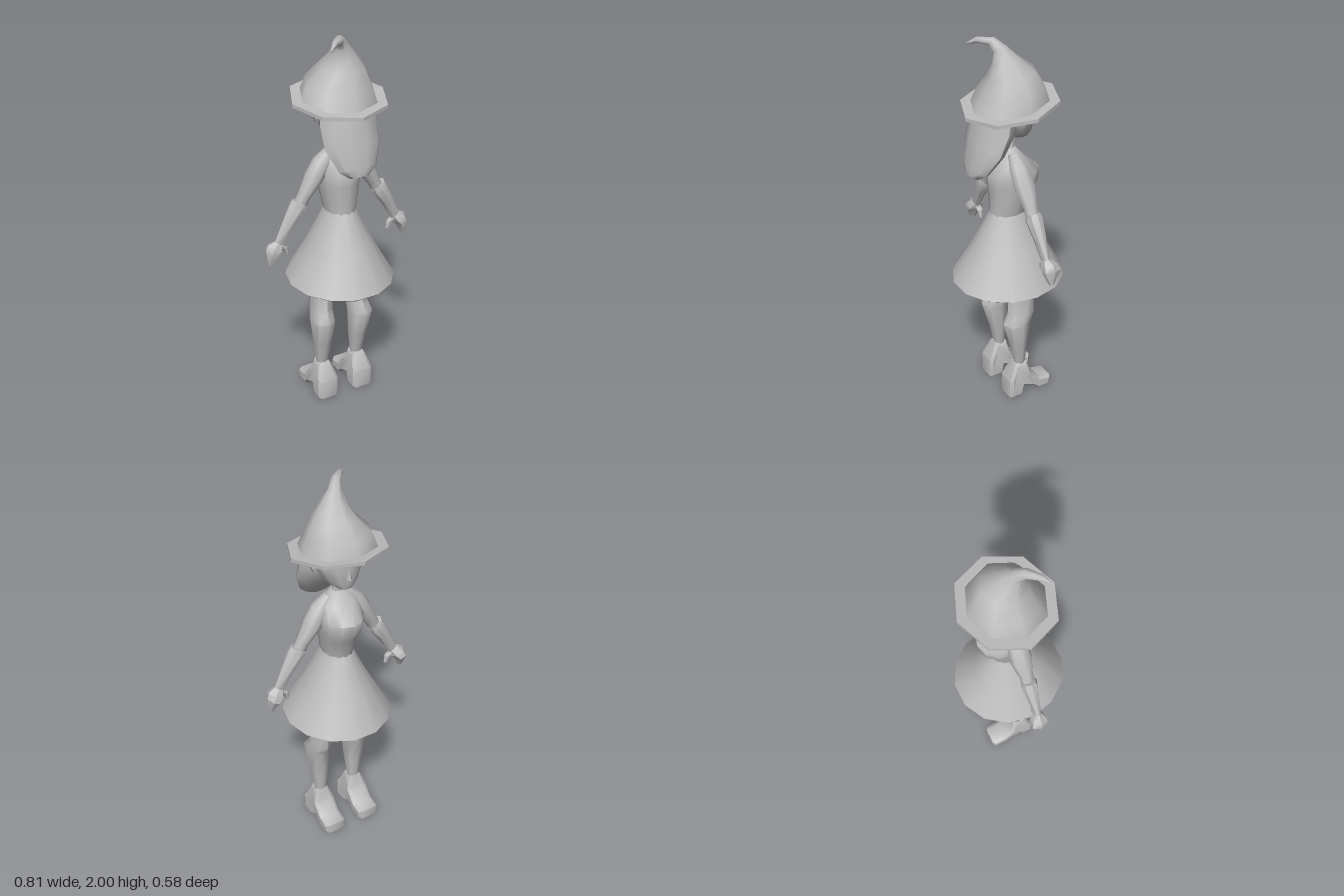
import * as THREE from 'three';
import { toCreasedNormals } from 'three/addons/utils/BufferGeometryUtils.js';

const grey = new THREE.MeshStandardMaterial({ color: 0xbcbcbc });
grey.name = 'plain grey';
const UP = new THREE.Vector3(0, 1, 0);

// Closed skin over rings listed bottom-up: [x, y, z, halfWidth, halfDepth, axis?]
function loft(rings, n, defaultAxis = [0, 1, 0], crease = 0.7) {
  const pos = [], idx = [], q = new THREE.Quaternion();
  for (const [x, y, z, ru, rv, axis] of rings) {
    q.setFromUnitVectors(UP, new THREE.Vector3(...(axis || defaultAxis)).normalize());
    for (let i = 0; i < n; i++) {
      const a = (i / n) * Math.PI * 2;
      const p = new THREE.Vector3(Math.cos(a) * ru, 0, Math.sin(a) * rv).applyQuaternion(q);
      pos.push(p.x + x, p.y + y, p.z + z);
    }
  }
  const last = rings.length - 1;
  for (const r of [rings[0], rings[last]]) pos.push(r[0], r[1], r[2]);
  const low = rings.length * n, high = low + 1;
  for (let i = 0; i < n; i++) {
    const j = (i + 1) % n;
    for (let k = 0; k < last; k++) {
      const b = k * n, t = b + n;
      idx.push(b + i, t + i, b + j, t + i, t + j, b + j);
    }
    idx.push(low, i, j, high, last * n + j, last * n + i);
  }
  const g = new THREE.BufferGeometry();
  g.setAttribute('position', new THREE.Float32BufferAttribute(pos, 3));
  g.setIndex(idx);
  return toCreasedNormals(g, crease);
}

// High-heeled boot: side profile (z, y), narrowed towards the ankle
function bootGeometry(s) {
  const pts = [[0.077, 0], [0.077, 0.11], [0.03, 0.2], [-0.037, 0.2], [-0.055, 0.125], [-0.11, 0.068],
    [-0.178, 0.055], [-0.178, 0], [-0.095, 0], [-0.065, 0.03], [-0.01, 0.055], [0, 0]];
  const shape = new THREE.Shape(pts.map(p => new THREE.Vector2(...p)));
  const g = new THREE.ExtrudeGeometry(shape, {
    depth: 0.085, bevelEnabled: true, bevelThickness: 0.017, bevelSize: 0.013, bevelOffset: -0.013, bevelSegments: 1,
  });
  g.translate(0, 0, -0.0425);
  g.rotateY(-Math.PI / 2);
  const p = g.attributes.position;
  for (let i = 0; i < p.count; i++) {
    const t = Math.max(0, (p.getY(i) - 0.12) / 0.08);
    p.setX(i, p.getX(i) * (1 - 0.4 * t) + s * 0.105);
  }
  g.deleteAttribute('uv');
  return toCreasedNormals(g, 0.7);
}

export function createModel() {
  const model = new THREE.Group();
  model.name = 'figure';
  const add = (name, geometry) => {
    const m = new THREE.Mesh(geometry, grey);
    m.name = name;
    model.add(m);
  };

  // Tilted pointed hat with a curled tip
  const tilt = [0, 1, 0.135];
  add('hatBrim', loft([[0, 1.665, -0.01, 0.245, 0.243], [0, 1.683, -0.01, 0.245, 0.243]], 8, tilt));
  add('hatCone', loft([
    [0, 1.678, -0.01, 0.195, 0.196, tilt],
    [0.003, 1.755, -0.015, 0.168, 0.163, tilt],
    [0.02, 1.83, -0.008, 0.11, 0.118, tilt],
    [0.006, 1.89, 0.015, 0.066, 0.07, [-0.1, 1, 0.15]],
    [-0.012, 1.943, 0.035, 0.034, 0.037, [-0.3, 1, 0.3]],
    [-0.038, 1.978, 0.065, 0.024, 0.024, [-0.6, 0.6, 0.6]],
    [-0.085, 1.979, 0.113, 0.015, 0.015, [-0.7, -0.1, 0.6]],
    [-0.122, 1.957, 0.145, 0.004, 0.004, [-0.7, -0.3, 0.6]],
  ], 8, tilt, 1));

  // Head, nose and neck, facing -z
  add('head', loft([
    [0, 1.495, -0.065, 0.04, 0.045],
    [0, 1.53, -0.035, 0.085, 0.086],
    [0, 1.6, -0.012, 0.12, 0.11],
    [0, 1.68, -0.01, 0.132, 0.115],
  ], 12, [0, 1, 0], 0.9));
  add('nose', loft([[0, 1.553, -0.118, 0.014, 0.018], [0, 1.56, -0.119, 0.013, 0.017],
    [0, 1.61, -0.115, 0.005, 0.006]], 4));
  add('neck', loft([[0, 1.42, -0.005, 0.032, 0.03], [0, 1.47, -0.012, 0.024, 0.022],
    [0, 1.54, -0.012, 0.026, 0.024]], 8));

  // Long hair hanging behind the head
  const sweep = [0, 0.9, -0.4];
  add('hair', loft([
    [0, 1.34, 0.198, 0.05, 0.028, sweep],
    [0, 1.375, 0.182, 0.1, 0.045, sweep],
    [0, 1.48, 0.13, 0.148, 0.07, sweep],
    [0, 1.58, 0.085, 0.149, 0.095, [0, 1, -0.15]],
    [0, 1.672, 0.07, 0.146, 0.092, tilt],
  ], 10, sweep, 0.8));

  // Bodice and skirt
  add('bodice', loft([
    [0, 1.09, 0, 0.077, 0.098],
    [0, 1.2, -0.012, 0.098, 0.112],
    [0, 1.25, -0.026, 0.106, 0.134],
    [0, 1.315, -0.028, 0.115, 0.138],
    [0, 1.39, -0.01, 0.1, 0.072],
    [0, 1.445, -0.004, 0.035, 0.03],
  ], 12, [0, 1, 0], 0.9));
  add('skirt', loft([
    [0, 0.685, 0, 0.17, 0.19],
    [0, 0.698, 0, 0.25, 0.27],
    [0, 0.718, 0, 0.278, 0.295],
    [0, 0.91, 0, 0.168, 0.187],
    [0, 1.03, 0, 0.108, 0.128],
    [0, 1.1, 0, 0.075, 0.097],
  ], 14));

  for (const s of [1, -1]) {
    const side = s > 0 ? 'left' : 'right';
    const mirror = rings => rings.map(([x, ...rest]) => [x * s, ...rest]);
    const along = [-0.45 * s, 0.89, 0];

    // Arm with sleeve, flared cuff and hand
    add(side + 'Sleeve', loft(mirror([
      [0.215, 1.165, -0.005, 0.034, 0.034],
      [0.197, 1.2, -0.005, 0.034, 0.036],
      [0.142, 1.29, -0.006, 0.046, 0.056],
      [0.094, 1.365, -0.004, 0.047, 0.05],
      [0.045, 1.425, -0.003, 0.025, 0.03],
    ]), 8, along, 1));
    add(side + 'Forearm', loft(mirror([
      [0.335, 0.97, -0.008, 0.027, 0.018],
      [0.278, 1.075, -0.006, 0.036, 0.032],
      [0.23, 1.15, -0.005, 0.047, 0.042],
      [0.22, 1.175, -0.005, 0.042, 0.036],
    ]), 8, along));
    add(side + 'Hand', loft(mirror([
      [0.384, 0.855, -0.012, 0.012, 0.012],
      [0.375, 0.925, -0.016, 0.034, 0.05],
      [0.355, 0.95, -0.014, 0.042, 0.042],
      [0.333, 0.975, -0.008, 0.027, 0.018],
    ]), 6, along));
    add(side + 'Thumb', loft(mirror([
      [0.292, 0.9, -0.012, 0.01, 0.01],
      [0.303, 0.938, -0.012, 0.016, 0.016],
      [0.335, 0.956, -0.012, 0.018, 0.018],
    ]), 6));

    // Leg and heeled boot
    add(side + 'Leg', loft(mirror([
      [0.104, 0.19, -0.006, 0.034, 0.03],
      [0.106, 0.33, 0.004, 0.053, 0.05],
      [0.112, 0.475, 0.016, 0.068, 0.078],
      [0.105, 0.53, -0.015, 0.059, 0.077],
      [0.102, 0.71, -0.012, 0.06, 0.077],
    ]), 8, [0, 1, 0], 0.9));
    add(side + 'Boot', bootGeometry(s));

    // Ear peeking out beside the hair
    add(side + 'Ear', loft(mirror([
      [0.122, 1.575, -0.005, 0.008, 0.012],
      [0.136, 1.61, -0.002, 0.014, 0.02],
      [0.15, 1.645, 0.004, 0.004, 0.008],
    ]), 6));
  }
  return model;
}
